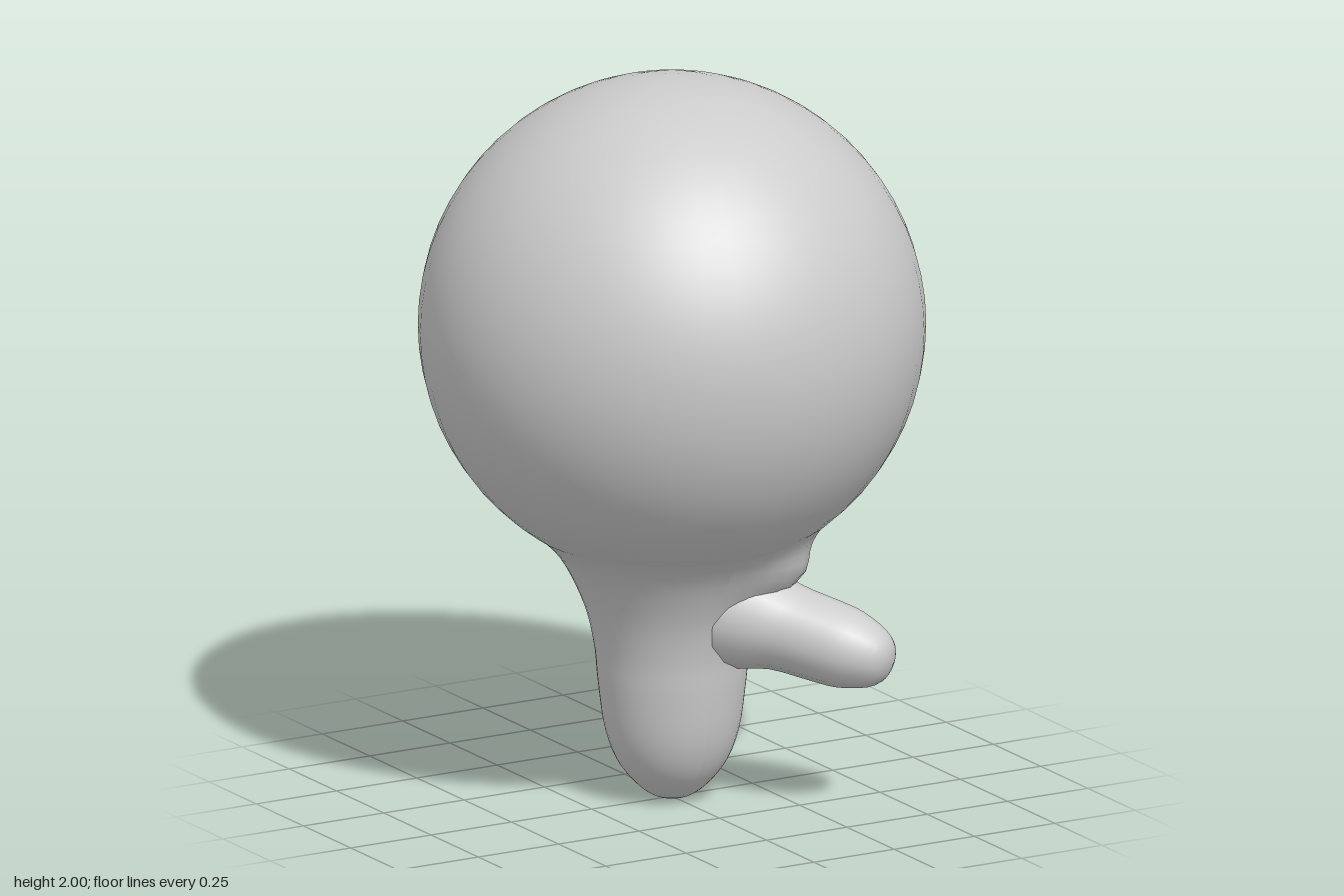
import * as THREE from 'three';

const material = new THREE.MeshStandardMaterial({ color: 0xcccccc });

// Horizontal headings of the two stubby arms, as [x, z] of their tips
const armTips = [[0.38, 0.43], [0.27, -0.46]];

// Smooth surface of revolution through a few [radius, height] points
function lathe(name, points, steps, sides) {
  const curve = new THREE.SplineCurve(points.map(([r, y]) => new THREE.Vector2(r, y)));
  const profile = curve.getPoints(steps).map(p => new THREE.Vector2(Math.max(p.x, 0), p.y));
  const mesh = new THREE.Mesh(new THREE.LatheGeometry(profile, sides), material);
  mesh.name = name;
  return mesh;
}

function makeBody() {
  const body = lathe('body', [
    [0, 0], [0.05, 0.008], [0.1, 0.045], [0.15, 0.11], [0.182, 0.2], [0.2, 0.33],
    [0.21, 0.43], [0.24, 0.55], [0.305, 0.68], [0.39, 0.765], [0.47, 0.83],
  ], 36, 48);
  // Swell the neck outwards above each arm
  const pos = body.geometry.attributes.position;
  for (let i = 0; i < pos.count; i++) {
    const x = pos.getX(i), y = pos.getY(i), z = pos.getZ(i);
    const r = Math.hypot(x, z);
    if (r < 1e-4) continue;
    let swell = 0;
    for (const [ax, az] of armTips) {
      const turn = Math.acos(THREE.MathUtils.clamp((x * ax + z * az) / (r * Math.hypot(ax, az)), -1, 1));
      swell += 0.085 * Math.exp(-((turn / 0.38) ** 2) - (((y - 0.65) / 0.09) ** 2));
    }
    pos.setX(i, x * (1 + swell / r));
    pos.setZ(i, z * (1 + swell / r));
  }
  body.geometry.computeVertexNormals();
  return body;
}

// Stubby arm, flared where it joins the body and blunt at the tip
function makeArm(name, [x, z]) {
  const arm = lathe(name, [
    [0.16, 0], [0.165, 0.1], [0.15, 0.18], [0.122, 0.27], [0.115, 0.38],
    [0.108, 0.46], [0.08, 0.54], [0.045, 0.575], [0, 0.585],
  ], 24, 16);
  const root = new THREE.Vector3(x * 0.1, 0.57, z * 0.1);
  const direction = new THREE.Vector3(x, 0.435, z).sub(root).normalize();
  arm.quaternion.setFromUnitVectors(new THREE.Vector3(0, 1, 0), direction);
  arm.position.copy(root);
  return arm;
}

export function createModel() {
  const model = new THREE.Group();
  model.name = 'bigHeadedFigure';

  // Large round head
  const head = new THREE.Mesh(new THREE.SphereGeometry(0.682, 48, 32), material);
  head.name = 'head';
  head.position.y = 1.318;

  model.add(head, makeBody(), makeArm('frontArm', armTips[0]), makeArm('backArm', armTips[1]));
  return model;
}
